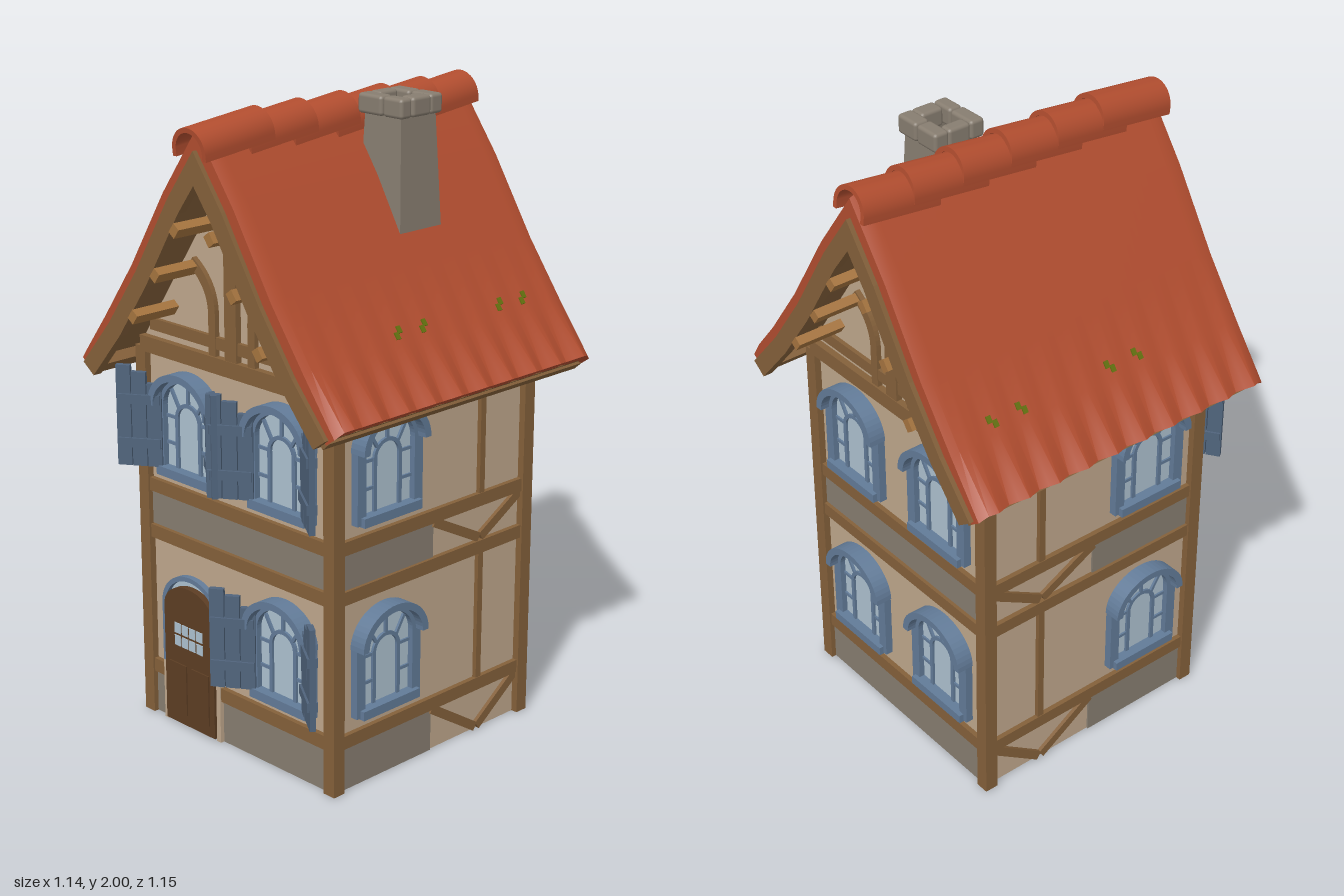
import * as THREE from 'three';
import { toCreasedNormals } from 'three/addons/utils/BufferGeometryUtils.js';
import { RoundedBoxGeometry } from 'three/addons/geometries/RoundedBoxGeometry.js';

const mat = (name, color, extra = {}) =>
  new THREE.MeshStandardMaterial({ name, color, ...extra });
const M = {
  plaster: mat('plaster', 0xbfa78c, { side: THREE.DoubleSide }),
  timber: mat('timber', 0x84603a),
  peg: mat('light timber', 0xa5743f),
  roof: mat('roof tile', 0xb14d2f, { side: THREE.DoubleSide }),
  stone: mat('stone', 0x877d70, { side: THREE.DoubleSide }),
  frame: mat('window blue', 0x627b98),
  shutter: mat('shutter blue', 0x50647c),
  glass: mat('glass', 0xadc1cf, { side: THREE.DoubleSide }),
  door: mat('door wood', 0x5c3d23),
  moss: mat('moss', 0x62700f),
};

function add(parent, name, geo, material, x = 0, y = 0, z = 0) {
  const m = new THREE.Mesh(geo, material);
  m.name = name;
  m.position.set(x, y, z);
  parent.add(m);
  return m;
}
function group(parent, name, x = 0, y = 0, z = 0) {
  const g = new THREE.Group();
  g.name = name;
  g.position.set(x, y, z);
  parent.add(g);
  return g;
}
// box given by its x and y limits, standing from z0 outwards
const block = (p, name, m, x0, x1, y0, y1, z0, d) =>
  add(p, name, new THREE.BoxGeometry(x1 - x0, y1 - y0, d), m, (x0 + x1) / 2, (y0 + y1) / 2, z0 + d / 2);
// slanted bar between two points
function bar(p, name, m, x0, y0, x1, y1, w, z0, d) {
  const b = add(p, name, new THREE.BoxGeometry(Math.hypot(x1 - x0, y1 - y0), w, d), m,
    (x0 + x1) / 2, (y0 + y1) / 2, z0 + d / 2);
  b.rotation.z = Math.atan2(y1 - y0, x1 - x0);
  return b;
}
const extrude = (shape, depth, steps = 1) =>
  new THREE.ExtrudeGeometry(shape, { depth, steps, bevelEnabled: false, curveSegments: 12 });

// round-topped opening, and the band between two of them
function arch(w, y0, spring, rise, cx = 0, Kind = THREE.Shape) {
  const s = new Kind();
  s.moveTo(cx - w, y0).lineTo(cx + w, y0).lineTo(cx + w, spring);
  s.absellipse(cx, spring, w, rise, 0, Math.PI, false);
  s.closePath();
  return s;
}
function band(w, rise, w2, rise2, y0, spring) {
  const s = new THREE.Shape();
  s.moveTo(w2, y0).lineTo(w, y0).lineTo(w, spring);
  s.absellipse(0, spring, w, rise, 0, Math.PI, false);
  s.lineTo(-w, y0).lineTo(-w2, y0).lineTo(-w2, spring);
  s.absellipse(0, spring, w2, rise2, Math.PI, 0, true);
  s.closePath();
  return s;
}

function addShutter(win, side) {
  const g = group(win, 'shutter', side * 0.105, 0.02, 0.025);
  g.rotation.y = side > 0 ? -0.59 : Math.PI + 0.59;
  [0.265, 0.3, 0.32].forEach((h, i) =>
    block(g, 'shutterPlank', M.shutter, i * 0.048, i * 0.048 + 0.045, 0, h, -0.009, 0.018));
  for (const y of [0.06, 0.2]) block(g, 'shutterBatten', M.shutter, 0.003, 0.138, y, y + 0.03, -0.016, 0.032);
}

function addWindow(face, x, y, shutters) {
  const g = group(face, 'window', x, y, 0);
  add(g, 'pane', extrude(arch(0.102, 0.02, 0.22, 0.087), 0.004), M.glass, 0, 0, 0.002);
  add(g, 'frame', extrude(band(0.135, 0.11, 0.1, 0.085, 0, 0.22), 0.025), M.frame);
  add(g, 'hood', extrude(band(0.138, 0.118, 0.114, 0.096, 0.22, 0.221), 0.055), M.frame);
  block(g, 'sill', M.frame, -0.12, 0.12, -0.004, 0.025, 0, 0.04);
  add(g, 'innerArch', extrude(band(0.058, 0.055, 0.045, 0.043, 0.02, 0.185), 0.014), M.frame);
  for (const a of [0.7, Math.PI / 2, Math.PI - 0.7]) {
    const c = Math.cos(a), s = Math.sin(a);
    bar(g, 'ray', M.frame, c * 0.055, 0.185 + s * 0.052, c * 0.1, 0.22 + s * 0.083, 0.01, 0, 0.014);
  }
  for (const s of [-1, 1]) {
    for (const h of [0.1, 0.185]) bar(g, 'glazingBar', M.frame, s * 0.05, h, s * 0.1, h, 0.01, 0, 0.012);
    if (shutters) addShutter(g, s);
  }
}

function addDoor(face, x) {
  const g = group(face, 'door', x, 0, 0);
  add(g, 'transom', extrude(arch(0.115, 0.38, 0.4, 0.098), 0.004), M.glass, 0, 0, 0.002);
  add(g, 'doorFrame', extrude(band(0.133, 0.113, 0.116, 0.098, 0.2, 0.4), 0.02), M.frame);
  add(g, 'doorLeaf', extrude(arch(0.114, 0.008, 0.4, 0.078), 0.022), M.door, 0, 0, 0.006);
  for (const s of [-1, 1]) {
    add(g, 'doorJamb', new THREE.BoxGeometry(0.018, 0.2, 0.02), M.plaster, s * 0.124, 0.1, 0.01);
    add(g, 'doorPanel', new THREE.BoxGeometry(0.08, 0.17, 0.006), M.door, s * 0.052, 0.13, 0.03);
  }
  for (let i = 0; i < 4; i++) for (let j = 0; j < 2; j++) {
    add(g, 'doorPane', new THREE.BoxGeometry(0.028, 0.034, 0.004), M.glass, -0.051 + i * 0.034, 0.292 + j * 0.042, 0.0285);
  }
}

// plaster sheet with openings cut out
function addWall(face, outline, wins, doorX) {
  const s = new THREE.Shape(outline.map(([x, y]) => new THREE.Vector2(x, y)));
  for (const [x, y] of wins) s.holes.push(arch(0.1, y + 0.02, y + 0.22, 0.085, x, THREE.Path));
  if (doorX !== undefined) s.holes.push(arch(0.113, 0.004, 0.4, 0.095, doorX, THREE.Path));
  add(face, 'wall', extrude(s, 0.01), M.plaster, 0, 0, -0.01);
}

const LOW = 0.225, HIGH = 0.835;

function addGableFace(house, name, angle, hasDoor) {
  const face = group(house, name, 0, 0, hasDoor ? 0.41 : -0.41);
  face.rotation.y = angle;
  const wins = [[-0.205, HIGH], [0.205, HIGH], [0.205, LOW]];
  if (!hasDoor) wins.push([-0.205, LOW]);
  addWall(face, [[-0.41, 0], [0.41, 0], [0.41, 1.25], [0, 1.84], [-0.41, 1.25]], wins, hasDoor ? -0.205 : undefined);
  wins.forEach(([x, y]) => addWindow(face, x, y, hasDoor));
  if (hasDoor) addDoor(face, -0.205);
  // plinth and floor bands
  for (const [x0, x1] of hasDoor ? [[-0.39, -0.34], [-0.072, 0.39]] : [[-0.39, 0.39]]) {
    block(face, 'plinth', M.stone, x0, x1, 0, 0.14, 0, 0.006);
    block(face, 'plinthBeam', M.timber, x0, x1, 0.14, 0.185, 0, 0.016);
  }
  block(face, 'bandPanel', M.stone, -0.39, 0.39, 0.645, 0.755, 0, 0.006);
  for (const y of [0.6, 0.755]) block(face, 'floorBeam', M.timber, -0.39, 0.39, y, y + 0.043, 0, 0.016);
  // gable timbers
  block(face, 'tieBeam', M.timber, -0.41, 0.41, 1.205, 1.255, 0, 0.022);
  block(face, 'collarBeam', M.timber, -0.37, 0.37, 1.278, 1.315, 0, 0.014);
  block(face, 'kingPost', M.timber, -0.025, 0.025, 1.25, 1.82, 0, 0.02);
  for (const s of [-1, 1]) {
    const b = new THREE.Shape();
    b.moveTo(s * 0.07, 1.25).lineTo(s * 0.07, 1.38).quadraticCurveTo(s * 0.07, 1.48, s * 0.165, 1.54);
    b.lineTo(s * 0.185, 1.515).quadraticCurveTo(s * 0.1, 1.46, s * 0.1, 1.38).lineTo(s * 0.1, 1.25);
    add(face, 'curvedBrace', extrude(b, 0.016), M.timber);
    for (const [x, y] of [[0.075, 1.658], [0.165, 1.51], [0.27, 1.365]]) {
      const p = add(face, 'purlinEnd', new THREE.BoxGeometry(0.036, 0.028, 0.162), M.peg, s * x, y, 0.081);
      p.rotation.z = -s * 0.93;
    }
  }
}

function addSideFace(house, name, side) {
  const face = group(house, name, side * 0.41, 0, 0);
  face.rotation.y = side * Math.PI / 2;
  const f = -side; // local direction towards the front
  const wins = [[f * 0.205, LOW], [f * 0.205, HIGH]];
  addWall(face, [[-0.41, 0], [0.41, 0], [0.41, 1.25], [-0.41, 1.25]], wins);
  wins.forEach(([x, y]) => addWindow(face, x, y, false));
  for (const [y, h] of [[0, 0.14], [0.64, 0.115]]) {
    add(face, 'stonePanel', new THREE.BoxGeometry(0.39, h, 0.006), M.stone, f * 0.195, y + h / 2, 0.003);
    for (const [x0, x1] of [[0, 0.2], [0.39, 0.21]])
      bar(face, 'brace', M.timber, -f * x0, y + h, -f * x1, y + 0.012, 0.03, 0, 0.012);
  }
  for (const y of [0.14, 0.6, 0.755, 1.16]) block(face, 'floorBeam', M.timber, -0.39, 0.39, y, y + 0.042, 0, 0.016);
  for (const [y0, y1] of [[0.18, 0.6], [0.79, 1.2]])
    add(face, 'stud', new THREE.BoxGeometry(0.022, y1 - y0, 0.014), M.timber, -f * 0.207, (y0 + y1) / 2, 0.007);
}

// roof cross-section between two depths below the tiled surface
const SLOPE = [[0, 1.97], [0.15, 1.765], [0.3, 1.525], [0.43, 1.345], [0.56, 1.195]];
function chevron(t0, t1) {
  const off = (t) => SLOPE.map(([x, y], i) => (i ? [x - 0.81 * t, y - 0.58 * t] : [0, y - 1.72 * t]));
  const mirror = (pts) => pts.slice(1).reverse().map(([x, y]) => [-x, y]);
  const outer = off(t0), inner = off(t1);
  const all = [...mirror(outer), ...outer, ...inner.reverse(), ...mirror(off(t1)).reverse()];
  return new THREE.Shape(all.map(([x, y]) => new THREE.Vector2(x, y)));
}

function addRoof(house) {
  const roof = group(house, 'roof');
  // tiled slopes with a wavy eave and rounded verges
  const geo = extrude(chevron(0, 0.04), 1.09, 40);
  geo.translate(0, 0, -0.545);
  const p = geo.attributes.position;
  for (let i = 0; i < p.count; i++) {
    const x = p.getX(i), z = p.getZ(i);
    if (Math.abs(x) > 0.5) {
      const wave = -Math.cos((z + 0.545) / 0.109 * Math.PI * 2);
      p.setX(i, x + Math.sign(x) * 0.012 * wave);
      p.setY(i, p.getY(i) + 0.006 * wave);
    }
    if (Math.abs(z) > 0.54) p.setY(i, p.getY(i) - 0.012);
  }
  add(roof, 'roofTiles', toCreasedNormals(geo, 0.6), M.roof);
  add(roof, 'soffit', extrude(chevron(0.04, 0.052), 1.08), M.timber, 0, 0, -0.54);
  for (const z of [-0.56, 0.53]) add(roof, 'bargeBoard', extrude(chevron(0.042, 0.1), 0.03), M.timber, 0, 0, z);
  for (const s of [-1, 1]) {
    const e = add(roof, 'eaveBeam', new THREE.BoxGeometry(0.04, 0.035, 1.08), M.timber, s * 0.497, 1.162, 0);
    e.rotation.z = -s * 0.85;
    for (const z of [-0.385, -0.28, 0.05, 0.155]) for (const k of [-1, 1]) {
      const m = add(roof, 'mossPatch', new THREE.BoxGeometry(0.022, 0.008, 0.016), M.moss,
        s * (0.41 + k * 0.005), 1.373 - k * 0.007, z + k * 0.008);
      m.rotation.z = -s * 0.93;
    }
  }
  // overlapping ridge tiles
  for (let i = 0; i < 6; i++) {
    const t = add(roof, 'ridgeTile', toCreasedNormals(extrude(band(0.07, 0.07, 0.055, 0.055, -0.02, 0), 0.265), 0.6),
      M.roof, 0, 1.925, 0.31 - i * 0.172);
    t.rotation.x = 0.11;
  }
}

function addChimney(house) {
  const c = group(house, 'chimney', 0.163, 0, -0.105);
  const q = Math.SQRT2;
  const shaft = new THREE.CylinderGeometry(0.072 * q, 0.09 * q, 0.42, 4, 1, true).rotateY(Math.PI / 4);
  add(c, 'chimneyShaft', toCreasedNormals(shaft, 0.5), M.stone, 0, 1.75, 0);
  // ring of cap stones: x, z, width, depth
  for (const [x, z, w, d] of [[-0.045, -0.063, 0.088, 0.052], [0.045, -0.063, 0.086, 0.052], [-0.068, 0, 0.044, 0.078],
    [0.062, 0, 0.054, 0.078], [-0.04, 0.065, 0.098, 0.05], [0.05, 0.065, 0.078, 0.046]])
    add(c, 'capStone', new RoundedBoxGeometry(w, 0.06, d, 2, 0.011), M.stone, x, 1.97, z);
}

export function createModel() {
  const house = new THREE.Group();
  house.name = 'timberHouse';
  addGableFace(house, 'frontFace', 0, true);
  addGableFace(house, 'backFace', Math.PI, false);
  addSideFace(house, 'leftFace', 1);
  addSideFace(house, 'rightFace', -1);
  for (const x of [-0.41, 0.41]) for (const z of [-0.41, 0.41])
    add(house, 'cornerPost', new THREE.BoxGeometry(0.044, 1.22, 0.044), M.timber, x, 0.61, z);
  addRoof(house);
  addChimney(house);
  return house;
}
